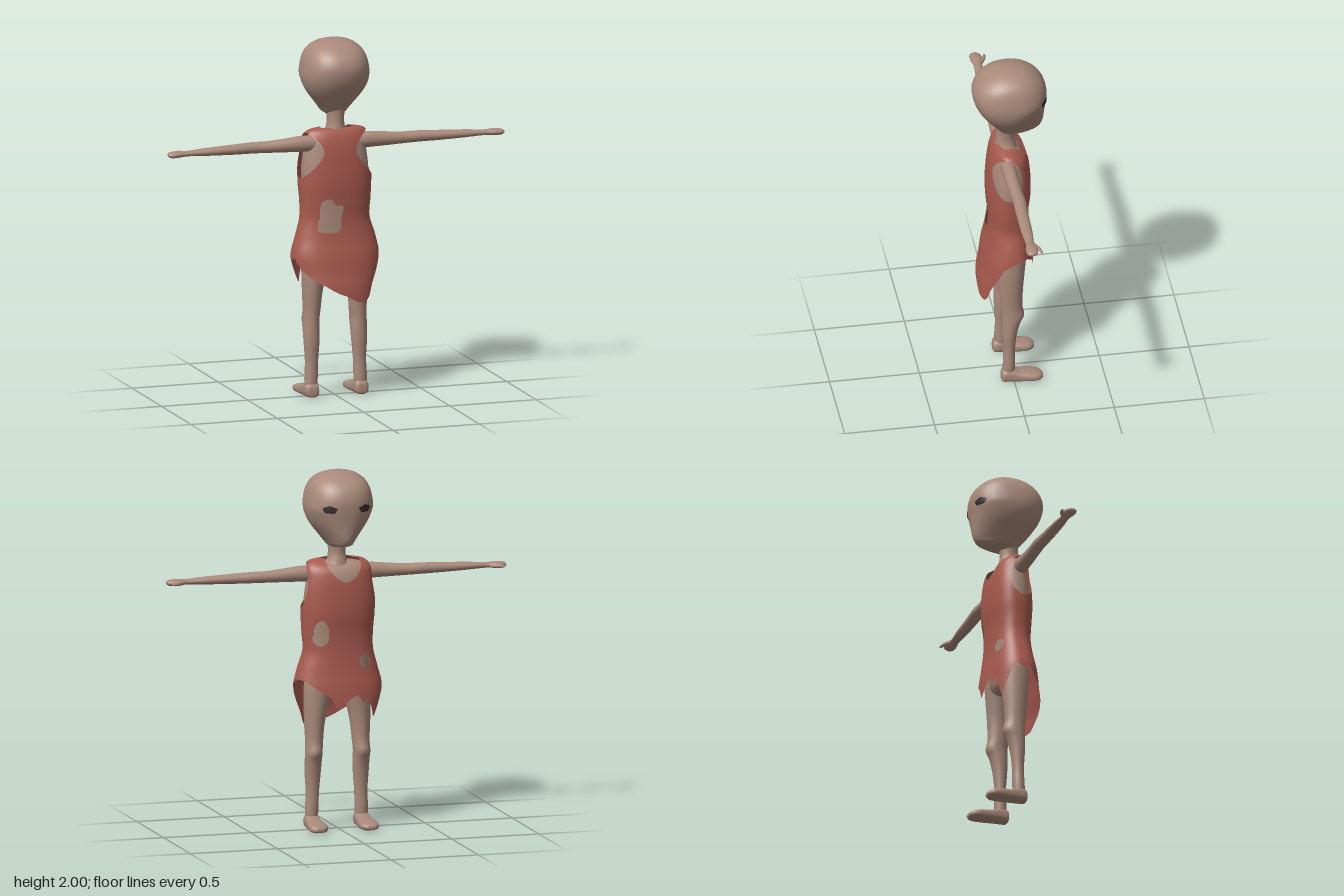
import * as THREE from 'three';
import { mergeVertices } from 'three/addons/utils/BufferGeometryUtils.js';

const skin = new THREE.MeshStandardMaterial({ color: 0xa98a7a });
skin.name = 'skin';
const cloth = new THREE.MeshStandardMaterial({ color: 0xa85a4e, side: THREE.DoubleSide });
cloth.name = 'red cloth';
const dark = new THREE.MeshStandardMaterial({ color: 0x303030, side: THREE.DoubleSide });
dark.name = 'dark eye';

const RAD = Math.PI / 180;
const clamp = THREE.MathUtils.clamp;

// Smooth surface through cross-sections [t, uMin, uMax, vMin, vMax]; place() turns (t, u, v) into x, y, z
function surface(rows, place, n = 2) {
  const at = (i) => rows[clamp(i, 0, rows.length - 1)];
  return (s, a) => {
    const i = Math.min(Math.floor(s), rows.length - 2), f = s - i;
    const [t, u0, u1, v0, v1] = rows[i].map((b, k) => {
      const p = at(i - 1)[k], c = at(i + 1)[k], d = at(i + 2)[k];
      return b + 0.5 * f * (c - p + f * (2 * p - 5 * b + 4 * c - d + f * (3 * (b - c) + d - p)));
    });
    const pw = (w) => Math.sign(w) * Math.abs(w) ** (2 / n);
    return new THREE.Vector3(...place(t,
      (u0 + u1) / 2 + ((u1 - u0) / 2) * pw(Math.cos(a)),
      (v0 + v1) / 2 + ((v1 - v0) / 2) * pw(Math.sin(a))));
  };
}

// Closed solid from cross-sections, turned outward by its signed volume
function loft(rows, place, n = 2, segs = 28, sub = 4) {
  const fn = surface(rows, place, n), rings = (rows.length - 1) * sub;
  const pts = [], idx = [];
  for (let j = 0; j <= rings; j++)
    for (let i = 0; i < segs; i++) pts.push(fn(j / sub, (i / segs) * 2 * Math.PI));
  for (let j = 0; j < rings; j++)
    for (let i = 0; i < segs; i++) {
      const k = (i + 1) % segs, a = j * segs + i, b = j * segs + k;
      idx.push([a, b, a + segs], [b, b + segs, a + segs]);
    }
  for (const j of [0, rings]) {
    const mid = new THREE.Vector3();
    for (let i = 0; i < segs; i++) mid.addScaledVector(pts[j * segs + i], 1 / segs);
    pts.push(mid);
    for (let i = 0; i < segs; i++) {
      const a = j * segs + i, b = j * segs + ((i + 1) % segs);
      idx.push(j ? [a, b, pts.length - 1] : [b, a, pts.length - 1]);
    }
  }
  const cross = new THREE.Vector3();
  let volume = 0;
  for (const [a, b, c] of idx) volume += pts[a].dot(cross.crossVectors(pts[b], pts[c]));
  const g = new THREE.BufferGeometry().setFromPoints(pts);
  g.setIndex(idx.flatMap(([a, b, c]) => (volume > 0 ? [a, b, c] : [a, c, b])));
  g.computeVertexNormals();
  return g;
}

const upright = (t, u, v) => [u, t, v];

// Head: round skull, face narrowing to the chin at -z
const headRows = [
  [1.575, -0.04, 0.04, -0.05, 0.05], [1.595, -0.075, 0.075, -0.15, 0.065], [1.62, -0.095, 0.095, -0.178, 0.085],
  [1.66, -0.125, 0.125, -0.188, 0.118], [1.71, -0.16, 0.16, -0.192, 0.155], [1.76, -0.181, 0.181, -0.197, 0.185],
  [1.81, -0.188, 0.188, -0.202, 0.202], [1.86, -0.182, 0.182, -0.201, 0.206], [1.91, -0.168, 0.168, -0.183, 0.187],
  [1.95, -0.143, 0.143, -0.147, 0.148], [1.98, -0.1, 0.1, -0.098, 0.095], [1.996, -0.045, 0.045, -0.045, 0.04],
  [2.0, -0.01, 0.01, -0.01, 0.01],
];
const headPlace = (t, u, v) =>
  [u * (1 - 0.42 * clamp((1.8 - t) / 0.18, 0, 1) * clamp(-v / 0.19, 0, 1)), t, v];

// Eye: thin ragged patch following the head surface
function eyeGeometry(side) {
  const fn = surface(headRows, headPlace, 2.3), pts = [], idx = [], N = 20, R = 4;
  const centre = new THREE.Vector3(0, 1.81, 0);
  for (let r = 0; r <= R; r++)
    for (let i = 0; i < N; i++) {
      const a = (i / N) * 2 * Math.PI, q = (r / R) * (1 + 0.1 * Math.sin(5 * a));
      const p = fn(6 + 0.42 * q * Math.sin(a), (270 + side * (29 + 13 * q * Math.cos(a))) * RAD);
      pts.push(p.sub(centre).multiplyScalar(1.015).add(centre));
    }
  for (let r = 0; r < R; r++)
    for (let i = 0; i < N; i++) {
      const a = r * N + i, b = r * N + ((i + 1) % N);
      const quad = [a, b, a + N, b, b + N, a + N];
      idx.push(...(side > 0 ? quad.reverse() : quad));
    }
  const g = new THREE.BufferGeometry().setFromPoints(pts);
  g.setIndex(idx);
  g.computeVertexNormals();
  return g;
}

// Tunic outline: hem height by angle, and holes as [z side, x, y, radii around]
const hem = [[0, 0.83], [18, 0.8], [36, 0.68], [46, 0.57], [56, 0.54], [72, 0.545], [90, 0.59], [110, 0.64], [130, 0.68],
  [150, 0.73], [168, 0.79], [178, 0.77], [190, 0.8], [203, 0.76], [214, 0.69], [224, 0.62], [231, 0.68], [240, 0.74],
  [247, 0.71], [256, 0.76], [264, 0.74], [276, 0.68], [284, 0.75], [300, 0.79], [325, 0.84], [345, 0.845], [360, 0.83]];
const holes = [
  [1, -0.06, 1.01, [0.06, 0.07, 0.105, 0.075, 0.11, 0.11, 0.08, 0.06, 0.058, 0.075, 0.095, 0.085, 0.08, 0.085, 0.085, 0.065]],
  [-1, -0.13, 0.94, [0.034, 0.036, 0.038, 0.036]],
  [-1, 0.12, 1.1, [0.035, 0.05, 0.08, 0.05, 0.038, 0.055, 0.07, 0.06]],
  [-1, -0.02, 1.5, [0.1, 0.1, 0.1, 0.1, 0.1, 0.1, 0.115, 0.1]],
];
function clothField(p, deg) {
  const k = Math.max(1, hem.findIndex((h) => h[0] >= deg));
  const [d0, y0] = hem[k - 1], [d1, y1] = hem[k];
  let f = p.y - (y0 + ((y1 - y0) * (deg - d0)) / (d1 - d0));
  // Armholes
  f = Math.min(f, 0.08 * (Math.hypot((p.z - 0.033) / 0.078, (p.y - 1.358) / 0.125) - 1));
  for (const [side, x, y, radii] of holes) {
    if (p.z * side < 0) continue;
    const m = radii.length, a = ((Math.atan2(p.y - y, p.x - x) / (2 * Math.PI) + 1) % 1) * m;
    const i = Math.floor(a) % m, w = a - Math.floor(a);
    f = Math.min(f, Math.hypot(p.x - x, p.y - y) - (radii[i] * (1 - w) + radii[(i + 1) % m] * w));
  }
  return f;
}

// Tunic: fine tube of cloth, each triangle clipped to the outline
function tunicGeometry() {
  const rows = [
    [0.52, -0.22, 0.21, -0.125, 0.185], [0.62, -0.23, 0.218, -0.125, 0.18], [0.7, -0.243, 0.238, -0.125, 0.165],
    [0.8, -0.25, 0.246, -0.118, 0.15], [0.9, -0.225, 0.225, -0.105, 0.13], [1.0, -0.2, 0.195, -0.098, 0.12],
    [1.1, -0.2, 0.2, -0.1, 0.125], [1.2, -0.208, 0.205, -0.11, 0.13], [1.3, -0.208, 0.205, -0.11, 0.125],
    [1.4, -0.195, 0.195, -0.1, 0.115], [1.46, -0.185, 0.185, -0.08, 0.1], [1.495, -0.155, 0.16, -0.035, 0.08],
    [1.508, -0.09, 0.09, -0.01, 0.062],
  ];
  const fn = surface(rows, upright, 2.4), N = 144, SUB = 7, M = (rows.length - 1) * SUB, out = [];
  const node = (i, j) => {
    const p = fn(j / SUB, ((i % N) / N) * 2 * Math.PI);
    return { p, f: clothField(p, (i * 360) / N) };
  };
  const clip = (tri) => {
    const poly = [];
    tri.forEach((a, i) => {
      const b = tri[(i + 1) % 3];
      if (a.f >= 0) poly.push(a.p);
      if (a.f >= 0 !== b.f >= 0) poly.push(a.p.clone().lerp(b.p, a.f / (a.f - b.f)));
    });
    for (let i = 2; i < poly.length; i++) out.push(poly[0], poly[i - 1], poly[i]);
  };
  for (let j = 0; j < M; j++)
    for (let i = 0; i < N; i++) {
      const a = node(i, j), b = node(i + 1, j), c = node(i + 1, j + 1), d = node(i, j + 1);
      clip([a, c, b]);
      clip([a, d, c]);
    }
  const g = mergeVertices(new THREE.BufferGeometry().setFromPoints(out), 1e-5);
  g.computeVertexNormals();
  return g;
}

export function createModel() {
  const model = new THREE.Group();
  const add = (name, geometry, material = skin) => {
    const mesh = new THREE.Mesh(geometry, material);
    mesh.name = name;
    model.add(mesh);
  };

  add('head', loft(headRows, headPlace, 2.3, 40));
  add('neck', loft([[1.46, -0.075, 0.075, -0.045, 0.085], [1.5, -0.055, 0.055, -0.035, 0.078],
    [1.55, -0.048, 0.048, -0.028, 0.073], [1.63, -0.055, 0.055, -0.04, 0.075]], upright));
  add('torso', loft([
    [0.72, -0.05, 0.05, -0.04, 0.05], [0.76, -0.13, 0.13, -0.065, 0.09], [0.85, -0.18, 0.18, -0.08, 0.11],
    [0.95, -0.178, 0.178, -0.082, 0.108], [1.1, -0.178, 0.178, -0.085, 0.108], [1.25, -0.19, 0.19, -0.092, 0.112],
    [1.38, -0.177, 0.177, -0.083, 0.1], [1.45, -0.162, 0.162, -0.06, 0.085], [1.482, -0.13, 0.13, -0.025, 0.068],
    [1.495, -0.06, 0.06, -0.01, 0.05],
  ], upright, 2.4));
  add('tunic', tunicGeometry(), cloth);

  for (const s of [1, -1]) {
    const side = s > 0 ? 'left' : 'right';
    add(side + 'Eye', eyeGeometry(s), dark);

    // Arm and hand run along x
    const sideways = (t, u, v) => [s * t, v, u];
    add(side + 'Arm', loft([
      [0.12, -0.012, 0.07, 1.375, 1.465], [0.2, -0.01, 0.07, 1.38, 1.468], [0.3, -0.008, 0.066, 1.383, 1.458],
      [0.4, -0.011, 0.06, 1.386, 1.45], [0.48, -0.014, 0.058, 1.388, 1.45], [0.6, -0.007, 0.06, 1.39, 1.445],
      [0.75, -0.002, 0.06, 1.395, 1.438], [0.86, 0.006, 0.054, 1.4, 1.43], [0.91, -0.005, 0.062, 1.396, 1.433],
      [0.95, 0.0, 0.063, 1.396, 1.43], [0.969, 0.012, 0.054, 1.403, 1.424], [0.974, 0.026, 0.042, 1.41, 1.416],
    ], sideways));
    add(side + 'Thumb', loft([
      [0.875, 0.0, 0.02, 1.403, 1.425], [0.905, -0.017, 0.006, 1.402, 1.424],
      [0.935, -0.026, -0.008, 1.403, 1.42], [0.955, -0.026, -0.014, 1.407, 1.416],
    ], sideways, 2, 14));

    // Leg with a knee that bulges forward
    add(side + 'Leg', loft([
      [0.02, 0.11, 0.175, 0.0, 0.06], [0.1, 0.105, 0.18, -0.008, 0.06], [0.2, 0.102, 0.176, -0.008, 0.056],
      [0.3, 0.094, 0.182, -0.018, 0.062], [0.38, 0.09, 0.184, -0.038, 0.063], [0.43, 0.09, 0.184, -0.06, 0.064],
      [0.49, 0.085, 0.182, -0.05, 0.068], [0.6, 0.073, 0.187, -0.054, 0.08], [0.72, 0.045, 0.19, -0.066, 0.09],
      [0.82, 0.02, 0.185, -0.075, 0.098], [0.88, 0.04, 0.16, -0.05, 0.08],
    ], (t, u, v) => [s * u, t, v]));

    // Foot runs from heel to toe along -z
    add(side + 'Foot', loft([
      [0.07, 0.125, 0.165, 0.012, 0.05], [0.06, 0.106, 0.18, 0.002, 0.075], [0.02, 0.102, 0.185, 0.0, 0.082],
      [-0.03, 0.097, 0.19, 0.0, 0.064], [-0.09, 0.091, 0.197, 0.0, 0.054], [-0.135, 0.098, 0.194, 0.002, 0.044],
      [-0.16, 0.125, 0.17, 0.01, 0.03],
    ], (t, u, v) => [s * u, v, t], 2.8));
  }
  return model;
}
